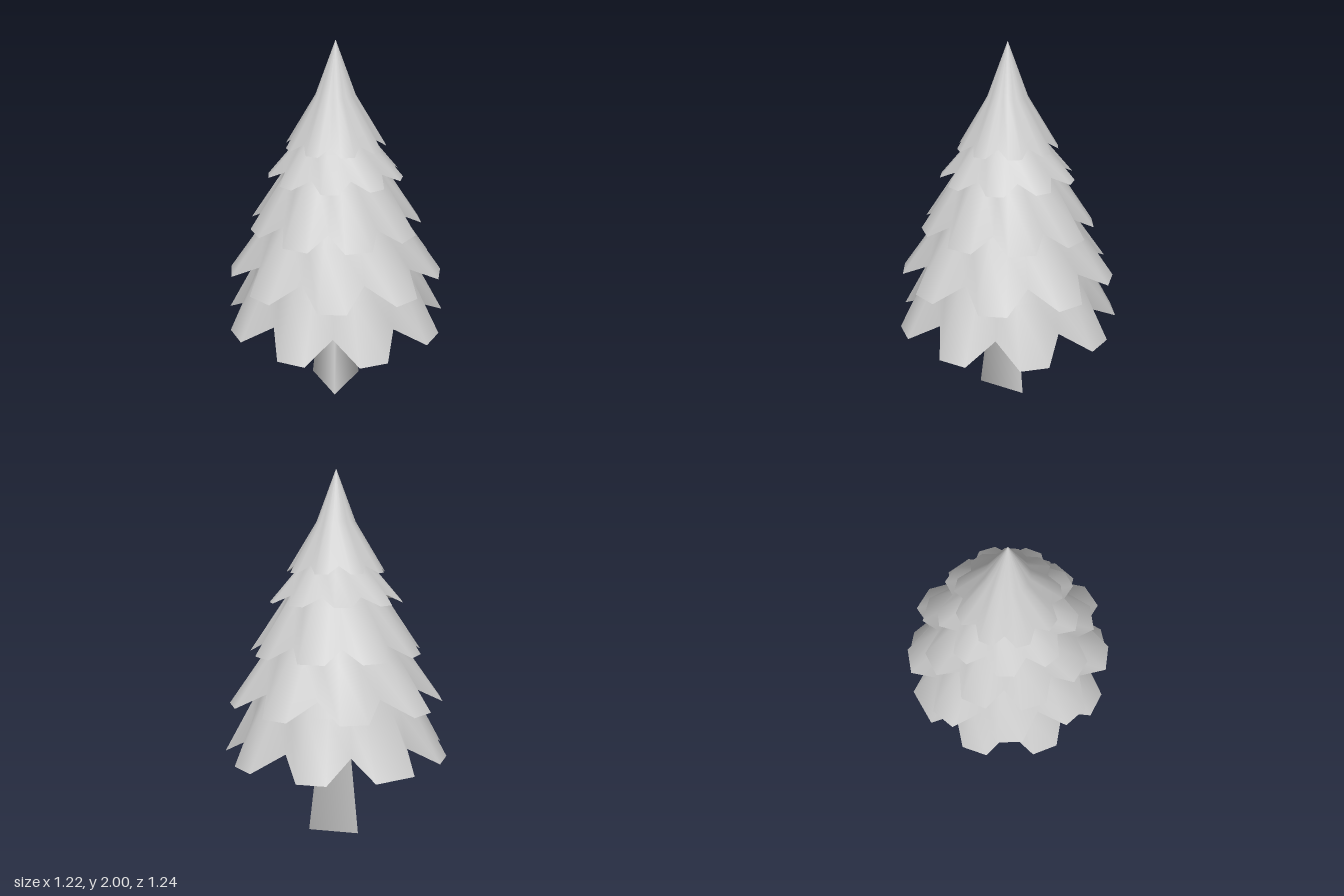
import * as THREE from 'three';

const LEAVES = 9;
const STEP = (Math.PI * 2) / LEAVES;
const rad = THREE.MathUtils.degToRad;

// rings: [radius, y] from the top down; tip and notch: [radius, y] of the jagged hem;
// turn: angle of the first leaf, half: half the width of a leaf tip (both in degrees)
const tiers = [
  { rings: [[0.36, 0.95], [0.46, 0.76]], tip: [0.62, 0.47], notch: [0.49, 0.565], turn: 20, half: 7, wideLeaf: 6 },
  { rings: [[0.29, 1.2], [0.395, 1.03]], tip: [0.588, 0.76], notch: [0.46, 0.845], turn: 0, half: 7 },
  { rings: [[0.21, 1.42], [0.29, 1.3]], tip: [0.472, 1.03], notch: [0.375, 1.095], turn: 24, half: 8.5 },
  { rings: [[0.11, 1.6], [0.22, 1.465]], tip: [0.362, 1.3], notch: [0.29, 1.345], turn: 3, half: 7 },
  { rings: [[0.0005, 2], [0.105, 1.725]], tip: [0.268, 1.46], notch: [0.22, 1.5], turn: 25, half: 7.5 },
];

// Open skirt whose hem runs notch, tip corner, tip corner around each leaf
function skirtGeometry({ rings, tip, notch, turn, half, wideLeaf }) {
  const columns = [];
  for (let i = 0; i < LEAVES; i++) {
    const centre = rad(turn) + i * STEP;
    const h = rad(i === wideLeaf ? 10.5 : half);
    columns.push({ angle: centre - STEP / 2, hem: notch });
    columns.push({ angle: centre - h, hem: tip });
    columns.push({ angle: centre + h, hem: tip });
  }
  const n = columns.length;
  const positions = [];
  const index = [];
  for (let row = 0; row <= rings.length; row++) {
    for (const { angle, hem } of columns) {
      const [r, y] = rings[row] ?? hem;
      // valleys between leaves sink in slightly
      const sink = row === 1 && rings[0][0] > 0.01 && hem === notch ? 0.96 : 1;
      positions.push(r * sink * Math.cos(angle), y, r * sink * Math.sin(angle));
    }
  }
  for (let row = 0; row < rings.length; row++) {
    for (let i = 0; i < n; i++) {
      const a = row * n + i;
      const c = row * n + ((i + 1) % n);
      index.push(a, c, a + n, c, c + n, a + n);
    }
  }
  const geometry = new THREE.BufferGeometry();
  geometry.setAttribute('position', new THREE.Float32BufferAttribute(positions, 3));
  geometry.setIndex(index);
  geometry.computeVertexNormals();
  return geometry;
}

export function createModel() {
  const tree = new THREE.Group();
  tree.name = 'tree';

  // Three-sided tapering trunk with one edge towards +x
  const height = 0.9;
  const trunk = new THREE.Mesh(
    new THREE.CylinderGeometry(0.054, 0.163, height, 3, 1, false, Math.PI / 2),
    new THREE.MeshStandardMaterial({ color: 0xcccccc })
  );
  trunk.position.y = height / 2;
  trunk.name = 'trunk';
  tree.add(trunk);

  // Overlapping skirts of leaves, bottom to top
  const foliage = new THREE.Group();
  foliage.name = 'foliage';
  const leafMaterial = new THREE.MeshStandardMaterial({ color: 0xcccccc, side: THREE.DoubleSide });
  tiers.forEach((tier, i) => {
    const skirt = new THREE.Mesh(skirtGeometry(tier), leafMaterial);
    skirt.name = `foliageTier${i + 1}`;
    foliage.add(skirt);
  });
  tree.add(foliage);

  return tree;
}
